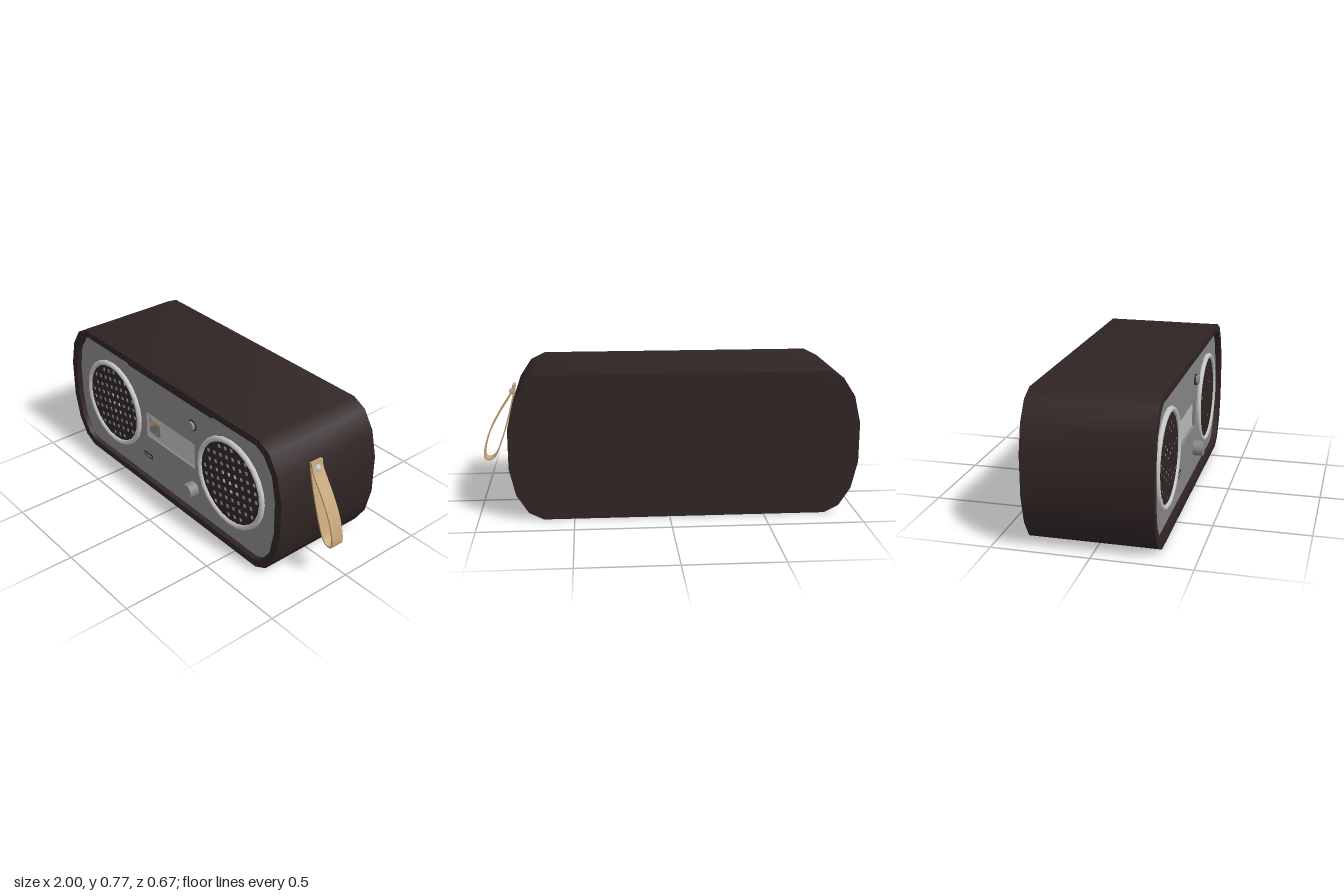
import * as THREE from 'three';
import { toCreasedNormals } from 'three/addons/utils/BufferGeometryUtils.js';

const paint = (name, color) => {
  const m = new THREE.MeshStandardMaterial({ color });
  m.name = name;
  return m;
};

export function createModel() {
  const group = new THREE.Group();
  const dark = paint('dark brown', 0x302424);
  const grey = paint('panel grey', 0x868686);
  const silver = paint('silver', 0xc4c4c4);
  const pale = paint('display grey', 0xbababa);
  const cone = paint('cone grey', 0xa6a6a6);
  const white = paint('bright cap', 0xf0f0f0);
  const tan = paint('tan leather', 0xc4a67a);

  const CX = -0.083, CY = 0.385, FACE = 0.28, FRONT = 0.31, BACK = -0.335;

  const add = (name, geometry, material, x = 0, y = 0, z = 0) => {
    const mesh = new THREE.Mesh(geometry, material);
    mesh.name = name;
    mesh.position.set(x, y, z);
    group.add(mesh);
    return mesh;
  };
  const extrude = (shape, depth, crease = 0.62) => toCreasedNormals(
    new THREE.ExtrudeGeometry(shape, { depth, bevelEnabled: false, curveSegments: 12 }), crease);

  // Mirror one corner (listed from top to side) into a closed outline
  const outline = (corner) => {
    const rev = [...corner].reverse();
    return [
      ...rev,
      ...corner.map(([x, y]) => [-x, y]),
      ...rev.map(([x, y]) => [-x, -y]),
      ...corner.map(([x, y]) => [x, -y]),
    ].map(([x, y]) => new THREE.Vector2(CX + x, CY + y));
  };
  const rect = (x0, y0, x1, y1) => [[x0, y0], [x1, y0], [x1, y1], [x0, y1]]
    .map(([x, y]) => new THREE.Vector2(x, y));

  // Cabinet: a tube with chamfered corners, closed by a back plate
  const outer = outline([[0.743, 0.385], [0.82, 0.347], [0.883, 0.25], [0.917, 0.105]]);
  const inner = outline([[0.725, 0.347], [0.785, 0.315], [0.845, 0.228], [0.872, 0.095]]);
  const shell = new THREE.Shape(outer);
  shell.holes.push(new THREE.Path(inner));
  add('cabinet', extrude(shell, FRONT - BACK), dark, 0, 0, BACK);
  add('backPlate', extrude(new THREE.Shape(inner), 0.03), dark, 0, 0, BACK);

  // Recessed front panel with a display window
  const win = rect(-0.3, 0.31, 0.13, 0.465);
  const panel = new THREE.Shape(inner);
  panel.holes.push(new THREE.Path(win));
  add('frontPanel', extrude(panel, 0.03), grey, 0, 0, FACE - 0.03);
  add('display', new THREE.BoxGeometry(0.43, 0.155, 0.01), pale, -0.085, 0.3875, FACE - 0.02);

  // Small picture on the display
  add('displayIcon', new THREE.BoxGeometry(0.095, 0.095, 0.002), grey, -0.242, 0.382, FACE - 0.014);
  const wave = new THREE.Shape();
  wave.moveTo(-0.29, 0.375);
  wave.lineTo(-0.265, 0.38);
  wave.quadraticCurveTo(-0.25, 0.41, -0.225, 0.41);
  wave.lineTo(-0.195, 0.405);
  wave.lineTo(-0.2, 0.43);
  wave.lineTo(-0.272, 0.43);
  wave.lineTo(-0.275, 0.412);
  wave.lineTo(-0.29, 0.405);
  add('displayIconWave', extrude(wave, 0.002), tan, 0, 0, FACE - 0.013);

  // Perforated grille, shared by both speakers
  const R = 0.238, PITCH = 0.049, HALF = 0.0115, TILT = 0.2;
  const c = Math.cos(TILT), s = Math.sin(TILT);
  const grille = new THREE.Shape().absarc(0, 0, R, 0, Math.PI * 2);
  for (let i = -5; i <= 5; i++) {
    for (let j = -5; j <= 5; j++) {
      if (Math.hypot(i, j) * PITCH > R - 0.02) continue;
      const hole = rect(-HALF, -HALF, HALF, HALF).map((p) => {
        const x = p.x + i * PITCH, y = p.y + j * PITCH;
        return new THREE.Vector2(x * c - y * s, x * s + y * c);
      });
      grille.holes.push(new THREE.Path(hole));
    }
  }
  const grilleGeometry = extrude(grille, 0.004);
  const ringGeometry = new THREE.TorusGeometry(0.244, 0.015, 10, 24);
  for (const [side, x] of [['right', -0.605], ['left', 0.43]]) {
    add(side + 'SpeakerCone', new THREE.CircleGeometry(R, 32), cone, x, CY, FACE + 0.002);
    add(side + 'SpeakerCap', new THREE.CircleGeometry(0.07, 24), white, x, CY, FACE + 0.004);
    add(side + 'Grille', grilleGeometry, dark, x, CY, FACE + 0.006);
    add(side + 'SpeakerRing', ringGeometry, silver, x, CY, FACE + 0.008);
  }

  // Controls: top slot, button, knob and port
  add('topSlot', new THREE.BoxGeometry(0.725, 0.03, 0.006), dark, -0.087, 0.71, FACE);
  const knob = (name, r, length, y, material) => {
    const g = new THREE.CylinderGeometry(r, r, length, 20).rotateX(Math.PI / 2);
    add(name, g, material, 0.12, y, FACE + length / 2);
  };
  knob('buttonSurround', 0.031, 0.008, 0.58, dark);
  knob('button', 0.026, 0.022, 0.58, grey);
  knob('volumeKnob', 0.042, 0.055, 0.18, grey);
  add('portFrame', new THREE.BoxGeometry(0.074, 0.026, 0.008), dark, -0.292, 0.182, FACE);
  add('port', new THREE.BoxGeometry(0.058, 0.012, 0.008), grey, -0.292, 0.182, FACE + 0.002);

  // Leather strap: a band of constant thickness following a hanging loop
  const path = new THREE.CatmullRomCurve3([
    [0.816, 0.64], [0.822, 0.6], [0.838, 0.53], [0.868, 0.42], [0.908, 0.3], [0.938, 0.237],
    [0.965, 0.221], [0.99, 0.228], [0.994, 0.262], [0.965, 0.37], [0.905, 0.485],
    [0.85, 0.57], [0.832, 0.605], [0.824, 0.64],
  ].map(([x, y]) => new THREE.Vector3(x, y, 0)));
  const edge = (offset) => Array.from({ length: 49 }, (_, i) => {
    const p = path.getPoint(i / 48), t = path.getTangent(i / 48);
    return new THREE.Vector2(p.x - t.y * offset, p.y + t.x * offset);
  });
  const band = new THREE.Shape([...edge(-0.004), ...edge(0.004).reverse()]);
  add('strap', extrude(band, 0.072, 0.8), tan, 0, 0, 0.042);
  add('strapStud', new THREE.SphereGeometry(0.021, 12, 8), silver, 0.828, 0.6, 0.078);

  return group;
}
